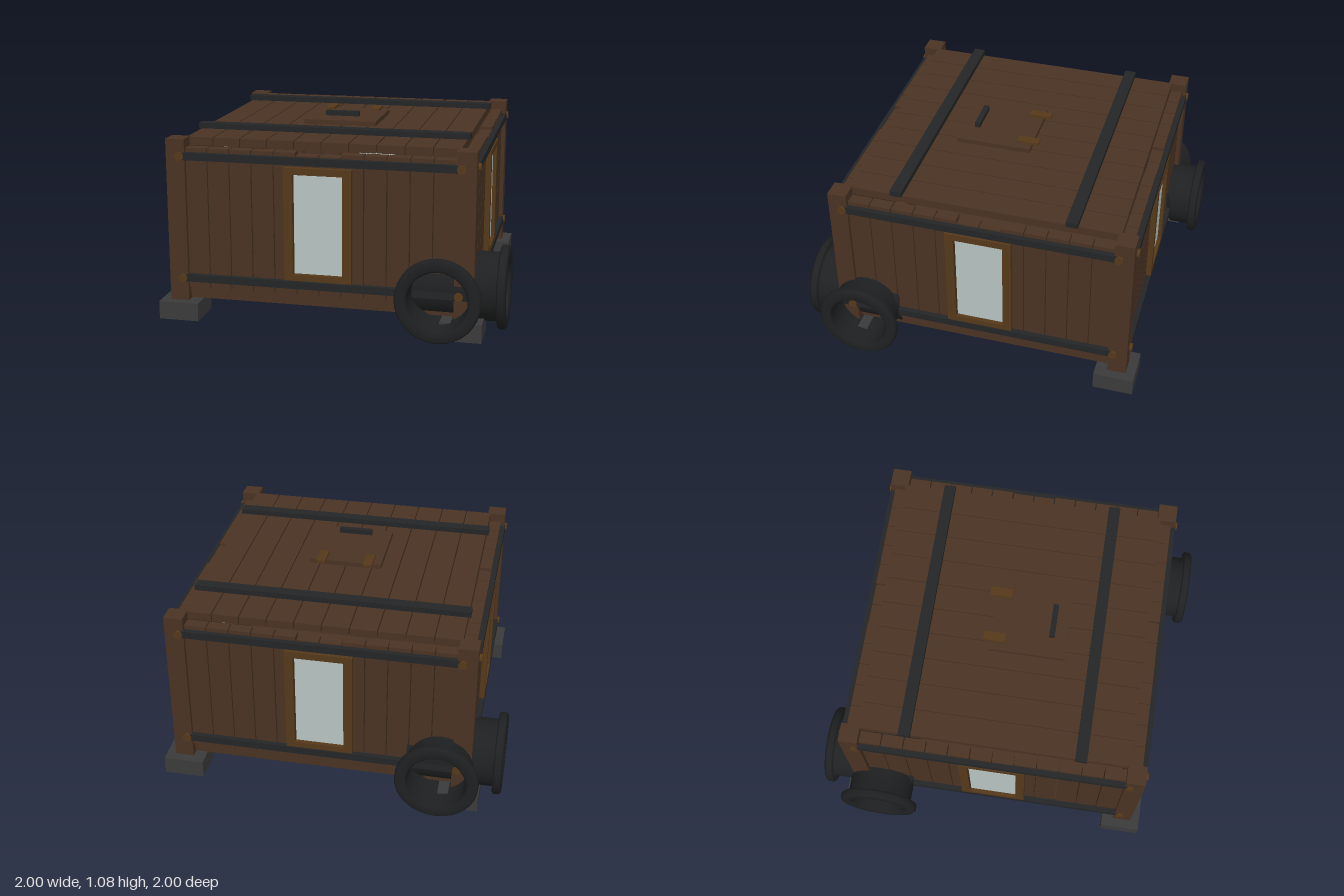
import * as THREE from 'three';

const mat = (name, color) => {
  const m = new THREE.MeshStandardMaterial({ color });
  m.name = name;
  return m;
};

export function createModel() {
  const model = new THREE.Group();
  model.name = 'woodenCabin';

  const wood = mat('brownWood', 0x4a3323);
  const trim = mat('goldenWood', 0x55391a);
  const iron = mat('darkIron', 0x232526);
  const pipeIron = mat('pipeIron', 0x1f2021);
  pipeIron.side = THREE.DoubleSide;
  const stone = mat('greyStone', 0x3b3b3b);
  const glass = mat('paleGlass', 0xb8c4c2);

  // box given by its minimum and maximum corners
  const box = (parent, name, material, x0, x1, y0, y1, z0, z1) => {
    const mesh = new THREE.Mesh(new THREE.BoxGeometry(x1 - x0, y1 - y0, z1 - z0), material);
    mesh.position.set((x0 + x1) / 2, (y0 + y1) / 2, (z0 + z1) / 2);
    mesh.name = name;
    parent.add(mesh);
    return mesh;
  };

  // floor slab
  box(model, 'floor', wood, -0.79, 0.79, 0.105, 0.168, -0.79, 0.79);

  // corner posts on stone feet
  for (const sx of [-1, 1]) {
    for (const sz of [-1, 1]) {
      const post = box(model, 'cornerPost', wood, -0.052, 0.052, 0.1, 1.0, -0.052, 0.052);
      post.position.x = sx * 0.781;
      post.position.z = sz * 0.781;
      const foot = box(model, 'foot', stone, -0.111, 0.111, 0, 0.1, -0.111, 0.111);
      foot.position.x = sx * 0.773;
      foot.position.z = sz * 0.773;
    }
  }

  // window frame with a rectangular opening
  const frameShape = new THREE.Shape([
    new THREE.Vector2(-0.183, 0.257), new THREE.Vector2(0.183, 0.257),
    new THREE.Vector2(0.183, 0.875), new THREE.Vector2(-0.183, 0.875),
  ]);
  frameShape.holes.push(new THREE.Path([
    new THREE.Vector2(-0.135, 0.29), new THREE.Vector2(-0.135, 0.838),
    new THREE.Vector2(0.135, 0.838), new THREE.Vector2(0.135, 0.29),
  ]));
  const frameGeo = new THREE.ExtrudeGeometry(frameShape, { depth: 0.09, bevelEnabled: false });
  const boltGeo = new THREE.CylinderGeometry(0.024, 0.024, 0.03, 10).rotateX(Math.PI / 2);

  // four identical walls, each built facing +z and then turned
  const pitch = 0.122;
  for (let side = 0; side < 4; side++) {
    const wall = new THREE.Group();
    wall.name = 'wall';
    wall.rotation.y = side * Math.PI / 2;
    model.add(wall);

    // vertical planks, cut short above and below the window
    for (let i = -6; i < 6; i++) {
      const x0 = i * pitch + 0.003;
      const x1 = (i + 1) * pitch - 0.003;
      if (i === -1 || i === 0) {
        box(wall, 'lowerShortPlank', wood, x0, x1, 0.168, 0.265, 0.745, 0.81);
        box(wall, 'upperShortPlank', wood, x0, x1, 0.865, 0.935, 0.745, 0.81);
      } else {
        box(wall, 'wallPlank', wood, x0, x1, 0.168, 0.95, 0.745, 0.81);
      }
    }

    // window
    const frame = new THREE.Mesh(frameGeo, trim);
    frame.position.z = 0.75;
    frame.name = 'windowFrame';
    wall.add(frame);
    box(wall, 'windowPane', glass, -0.131, 0.131, 0.293, 0.832, 0.812, 0.82);

    // iron bands with a bolt at each end
    for (const y of [0.23, 0.908]) {
      box(wall, 'wallBand', iron, -0.76, 0.76, y - 0.02, y + 0.02, 0.8, 0.839);
      for (const sx of [-1, 1]) {
        const bolt = new THREE.Mesh(boltGeo, trim);
        bolt.position.set(sx * 0.755, y, 0.833);
        bolt.name = 'bolt';
        wall.add(bolt);
      }
    }
  }

  // roof planks and bands
  for (let i = -5; i < 5; i++) {
    box(model, 'roofPlank', wood, i * 0.149 + 0.003, (i + 1) * 0.149 - 0.003, 0.953, 0.998, -0.745, 0.745);
  }
  for (const z of [-0.485, 0.475]) {
    box(model, 'roofBand', iron, -0.758, 0.758, 0.998, 1.028, z - 0.032, z + 0.032);
  }

  // roof hatch with hinges and handle
  const hatch = new THREE.Group();
  hatch.name = 'roofHatch';
  model.add(hatch);
  box(hatch, 'hatchPanel', wood, -0.205, 0.205, 1.01, 1.036, -0.11, 0.31);
  for (const sx of [-1, 1]) {
    box(hatch, 'hinge', trim, sx * 0.133 - 0.025, sx * 0.133 + 0.025, 1.036, 1.05, -0.148, -0.025);
  }
  box(hatch, 'hatchHandle', iron, -0.095, 0.095, 1.05, 1.077, 0.21, 0.24);

  // hollow flanged pipes, paired at two opposite corners
  const profile = [
    [0.157, 0.48], [0.175, 0.48], [0.175, 0.835], [0.185, 0.84], [0.185, 0.952],
    [0.216, 0.952], [0.225, 0.96], [0.225, 0.988], [0.214, 1.0],
    [0.17, 1.0], [0.157, 0.985], [0.157, 0.48],
  ].map(([r, h]) => new THREE.Vector2(r, h));
  const pipeGeo = new THREE.LatheGeometry(profile, 32).rotateX(Math.PI / 2);
  for (const turn of [0, Math.PI]) {
    const pair = new THREE.Group();
    pair.name = 'cornerPipes';
    pair.rotation.y = turn;
    model.add(pair);
    const frontPipe = new THREE.Mesh(pipeGeo, pipeIron);
    frontPipe.position.set(0.663, 0.246, 0);
    frontPipe.name = 'pipeAlongZ';
    const sidePipe = new THREE.Mesh(pipeGeo, pipeIron);
    sidePipe.rotation.y = Math.PI / 2;
    sidePipe.position.set(0, 0.246, 0.663);
    sidePipe.name = 'pipeAlongX';
    pair.add(frontPipe, sidePipe);
  }

  return model;
}
